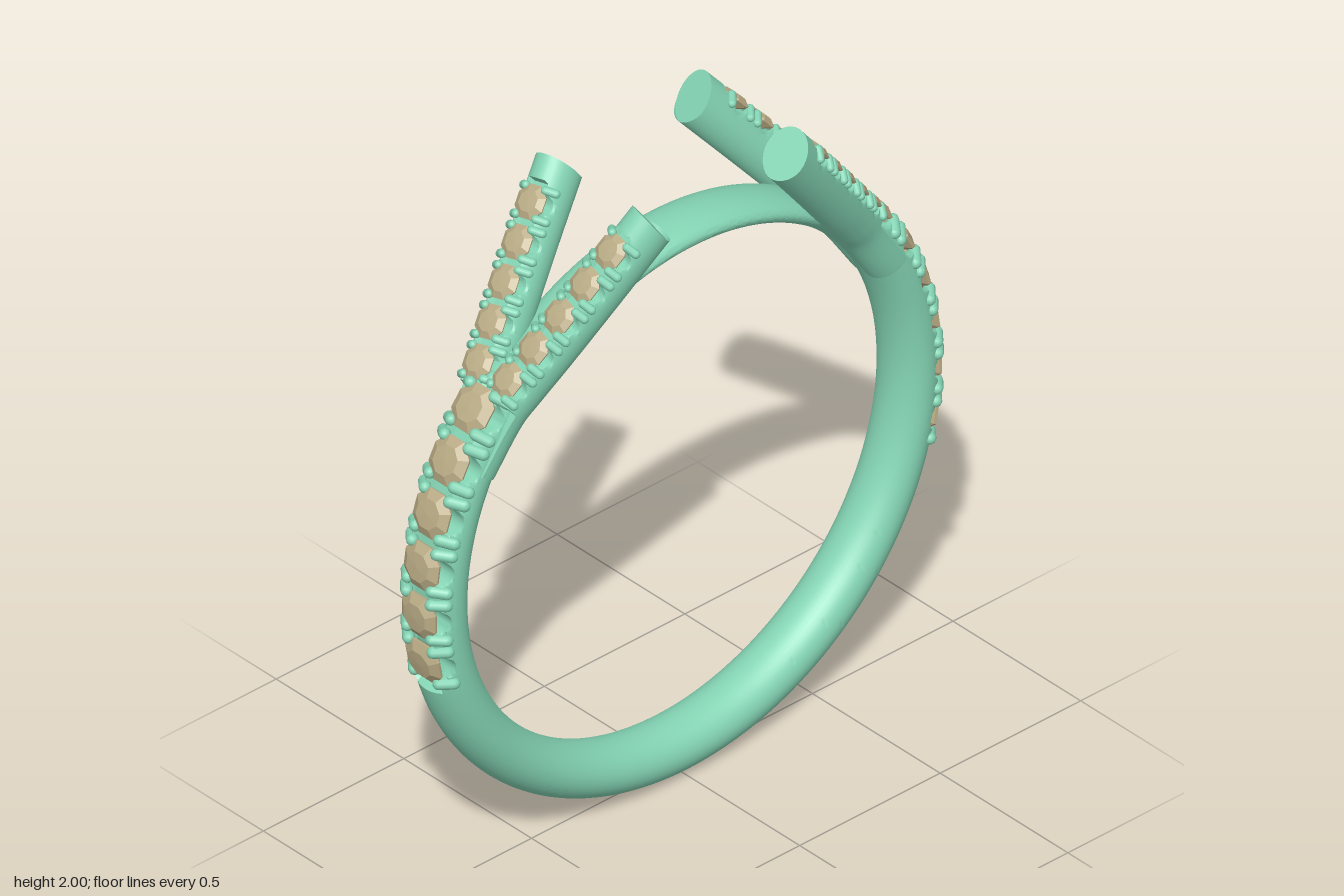
import * as THREE from 'three';
import { toCreasedNormals } from 'three/addons/utils/BufferGeometryUtils.js';

const metal = new THREE.MeshStandardMaterial({ color: 0x84d4b4 });
const gem = new THREE.MeshStandardMaterial({ color: 0xb9ab85, flatShading: true });

const CENTER_Y = 0.917, INNER_R = 0.762, W = 0.088, H = 0.077;
const rad = THREE.MathUtils.degToRad;
const V = (x, y, z) => new THREE.Vector3(x, y, z);

// Frame on the band at an angle: p = section centre, n = outward, t = along, b = sideways
function bandFrame(angle) {
  const h = THREE.MathUtils.lerp(H, 0.04, THREE.MathUtils.smoothstep(Math.sin(angle), 0.62, 0.87));
  const n = V(Math.cos(angle), Math.sin(angle), 0);
  const p = n.clone().multiplyScalar(INNER_R + h).add(V(0, CENTER_Y, 0));
  return { p, n, b: V(0, 0, 1), t: V(-n.y, n.x, 0), w: W, h };
}

// Frame on a split shoulder at arc length fraction u
function branchFrame(curve, u) {
  const t = curve.getTangentAt(u);
  const n = V(t.y, -t.x, 0).normalize();
  return { p: curve.getPointAt(u), n, t, b: n.clone().cross(t), w: 0.063, h: 0.075 };
}

// Sweeps an oval section; limit(i, side) caps its outward height to cut seats, slant skews the end
function sweep(frames, sides, limit, slant, caps) {
  const pos = [], index = [], last = frames.length - 1;
  frames.forEach((f, i) => {
    for (let j = 0; j < sides; j++) {
      const a = (j / sides) * Math.PI * 2;
      const side = f.w * Math.cos(a);
      const up = Math.min(f.h * Math.sin(a), f.h - limit(i, side));
      const v = f.p.clone().addScaledVector(f.b, side).addScaledVector(f.n, up);
      if (i === last) v.addScaledVector(f.t, up * slant);
      pos.push(v.x, v.y, v.z);
      if (i < last) {
        const k = i * sides + j, m = i * sides + (j + 1) % sides;
        index.push(k, m, k + sides, m, m + sides, k + sides);
      }
    }
  });
  if (caps) {
    for (let j = 1; j < sides - 1; j++) {
      const e = last * sides;
      index.push(0, j + 1, j, e, e + j, e + j + 1);
    }
  }
  const geo = new THREE.BufferGeometry();
  geo.setAttribute('position', new THREE.Float32BufferAttribute(pos, 3));
  geo.setIndex(index);
  return toCreasedNormals(geo, 0.6);
}

// Depth of the round scallop under a stone, d = distance along the path
const scallop = (d, half, depth) =>
  Math.abs(d) < half ? depth * Math.sqrt(1 - (d / half) ** 2) : 0;

// Faceted stone of unit radius, girdle just below y = 0
const stoneGeo = new THREE.LatheGeometry([
  [0, -0.95], [0.97, -0.3], [1, -0.2], [0.62, 0.03], [0, 0.06],
].map(([x, y]) => new THREE.Vector2(x, y)), 8);
const prongGeo = new THREE.CapsuleGeometry(0.017, 0.04, 4, 10);

// One stone with its four prongs
function setting(f, r) {
  const g = new THREE.Group();
  g.name = 'setting';
  g.applyMatrix4(new THREE.Matrix4().makeBasis(f.b, f.n, f.t).setPosition(f.p));
  const stone = new THREE.Mesh(stoneGeo, gem);
  stone.name = 'stone';
  stone.scale.setScalar(r);
  stone.position.y = f.h;
  stone.rotation.y = Math.PI / 8;
  g.add(stone);
  const k = r / 0.07;
  for (const sx of [-1, 1]) for (const sz of [-1, 1]) {
    const prong = new THREE.Mesh(prongGeo, metal);
    prong.name = 'prong';
    prong.scale.setScalar(k);
    prong.position.set(sx * 0.062 * k, f.h - 0.029 * k, sz * 0.055 * k);
    prong.rotation.z = sx * 0.85;
    g.add(prong);
  }
  return g;
}

export function createModel() {
  const model = new THREE.Group();
  model.name = 'ring';

  // Band with seats cut in both sides, thinning to an arch at the top
  const seats = [0, 1, 2, 3, 4, 5].map((i) => rad(-10.9 + 9.8 * i));
  const N = 600;
  const start = -Math.PI / 2;
  const angleAt = (i) => start + (i / N) * Math.PI * 2;
  const frames = Array.from({ length: N + 1 }, (_, i) => bandFrame(angleAt(i)));
  const bandLimit = (i, side) => {
    let a = angleAt(i);
    if (a > Math.PI / 2) a = Math.PI - a;
    if (a < rad(-16.3) || a > rad(43)) return 0;
    const cut = Math.max(...seats.map((s) => scallop((a - s) * 0.9, 0.044, 0.056)));
    return Math.max(cut, Math.abs(side) < 0.045 ? 0.038 : 0.004);
  };
  const band = new THREE.Mesh(sweep(frames, 40, bandLimit, 0, false), metal);
  band.name = 'band';
  model.add(band);

  // One shoulder: band stones, junction bead and two split branches
  const shoulder = new THREE.Group();
  shoulder.name = 'leftShoulder';
  seats.forEach((a) => shoulder.add(setting(bandFrame(a), 0.071)));

  const bead = new THREE.Mesh(new THREE.SphereGeometry(0.024, 16, 12), metal);
  bead.name = 'junctionBead';
  bead.position.set(0.635, 1.53, 0);
  shoulder.add(bead);

  for (const s of [1, -1]) {
    const curve = new THREE.CatmullRomCurve3([
      V(0.74, 1.31, 0.026 * s), V(0.642, 1.456, 0.04 * s), V(0.588, 1.52, 0.058 * s),
      V(0.517, 1.605, 0.085 * s), V(0.376, 1.775, 0.135 * s), V(0.24, 1.937, 0.18 * s),
    ]);
    const L = curve.getLength(), M = 130;
    const stones = [0, 1, 2, 3, 4].map((k) => L - 0.115 - 0.111 * k);
    const limit = (i, side) => {
      const d = (i / M) * L;
      if (d < L - 0.62) return 0.056;
      if (d > L - 0.055) return 0;
      const cut = Math.max(...stones.map((c) => scallop(d - c, 0.032, 0.042)));
      return Math.max(cut, Math.abs(side) < 0.032 ? 0.03 : 0.004);
    };
    const path = Array.from({ length: M + 1 }, (_, i) => branchFrame(curve, i / M));
    const branch = new THREE.Mesh(sweep(path, 32, limit, 0.23, true), metal);
    branch.name = s > 0 ? 'frontBranch' : 'backBranch';
    shoulder.add(branch);
    stones.forEach((d) => shoulder.add(setting(branchFrame(curve, d / L), 0.051)));
  }
  model.add(shoulder);

  // The opposite shoulder is the same part turned half way round
  const other = shoulder.clone();
  other.name = 'rightShoulder';
  other.rotation.y = Math.PI;
  model.add(other);
  return model;
}
